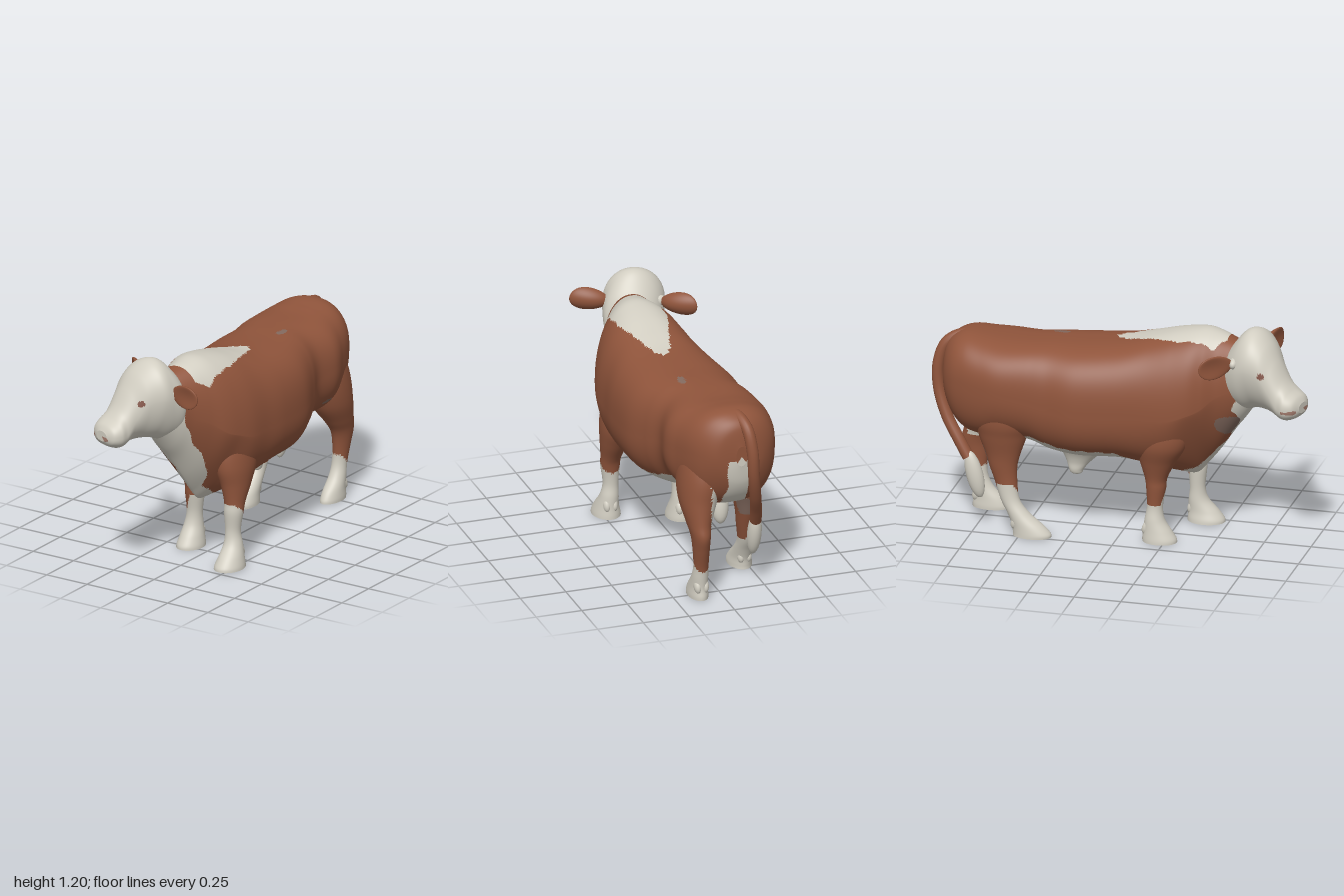
import * as THREE from 'three';

const mat = (name, color) => {
  const m = new THREE.MeshStandardMaterial({ color });
  m.name = name;
  return m;
};
const brown = mat('russet coat', 0x8f543b);
const cream = mat('cream coat', 0xd2cec2);
const MATS = [brown, cream, mat('eye brown', 0x85574a), mat('nostril pink', 0xa47c6e), mat('grey patch', 0x836a5f)];
const BROWN = 0, CREAM = 1, EYE = 2, NOSE = 3, GREY = 4;

// piecewise linear lookup in ascending [key, value] pairs
function lookup(pts, v) {
  if (v <= pts[0][0]) return pts[0][1];
  for (let i = 1; i < pts.length; i++) {
    const [a, fa] = pts[i - 1], [b, fb] = pts[i];
    if (v <= b) return fa + (fb - fa) * (v - a) / (b - a);
  }
  return pts[pts.length - 1][1];
}

// smooth blend of section rows, u in 0..1
function rowAt(rows, u) {
  const f = u * (rows.length - 1), i = Math.min(Math.floor(f), rows.length - 2), t = f - i;
  const r = k => rows[Math.max(0, Math.min(rows.length - 1, k))];
  return rows[i].map((p1, c) => {
    const p0 = r(i - 1)[c], p2 = r(i + 1)[c], p3 = r(i + 2)[c];
    return p1 + 0.5 * t * (p2 - p0 + t * (2 * p0 - 5 * p1 + 4 * p2 - p3 + t * (3 * (p1 - p2) + p3 - p0)));
  });
}

// skin closed rings through the rows; paint(x, y, z) picks each face's colour
function loft(name, rows, point, rings, segs, paint) {
  const pos = [], faces = MATS.map(() => []);
  const ring = u => {
    const row = rowAt(rows, u), start = pos.length / 3;
    for (let j = 0; j < segs; j++) pos.push(...point(row, j / segs * Math.PI * 2));
    return start;
  };
  const tri = (...ids) => {
    const c = [0, 1, 2].map(k => ids.reduce((s, i) => s + pos[i * 3 + k], 0) / 3);
    faces[paint(...c)].push(...ids);
  };
  const starts = [];
  for (let i = 0; i <= rings; i++) starts.push(ring(i / rings));
  for (let i = 0; i < rings; i++) for (let j = 0; j < segs; j++) {
    const k = (j + 1) % segs, a = starts[i], b = starts[i + 1];
    tri(a + j, b + j, a + k);
    tri(a + k, b + j, b + k);
  }
  // flat end caps
  for (const end of [0, 1]) {
    const s = ring(end), centre = [0, 0, 0];
    for (let j = 0; j < segs; j++) for (let k = 0; k < 3; k++) centre[k] += pos[(s + j) * 3 + k] / segs;
    const c = pos.length / 3;
    pos.push(...centre);
    for (let j = 0; j < segs; j++) {
      const k = (j + 1) % segs;
      if (end) tri(c, s + k, s + j); else tri(c, s + j, s + k);
    }
  }
  const g = new THREE.BufferGeometry();
  g.setAttribute('position', new THREE.Float32BufferAttribute(pos, 3));
  g.setIndex(faces.flat());
  let from = 0;
  faces.forEach((f, m) => { if (f.length) g.addGroup(from, f.length, m); from += f.length; });
  g.computeVertexNormals();
  const mesh = new THREE.Mesh(g, MATS);
  mesh.name = name;
  return mesh;
}

const pw = (v, e) => Math.sign(v) * Math.pow(Math.abs(v), e);
// row: z, centre x, half width, top, bottom, height of widest point, top and bottom roundness
const trunkPoint = ([z, cx, hw, top, bot, mid, eT, eB], a) => {
  const c = Math.cos(a), s = Math.sin(a), e = s > 0 ? eT : eB;
  return [cx + hw * pw(c, e), mid + (s > 0 ? top - mid : mid - bot) * pw(s, e), z];
};
// the head is turned, so its sections are skewed
const headPoint = (row, a) => {
  const p = trunkPoint(row, a);
  return [p[0], p[1], p[2] + 0.3 * (p[0] - row[1])];
};
// row: y, centre x, centre z, radius x, radius z
const legPoint = ([y, cx, cz, rx, rz], a) => [cx + rx * Math.cos(a), y, cz - rz * Math.sin(a)];

const trunkRows = [
  [0.72, 0, 0.09, 1.07, 0.80, 0.95, 1, 1],
  [0.66, 0, 0.125, 1.095, 0.71, 0.92, 1, 1],
  [0.60, 0.01, 0.145, 1.12, 0.63, 0.88, 0.95, 1.1],
  [0.52, 0.03, 0.175, 1.145, 0.51, 0.84, 0.95, 1.3],
  [0.45, 0.035, 0.22, 1.16, 0.42, 0.78, 0.95, 1.55],
  [0.38, 0.033, 0.252, 1.155, 0.35, 0.75, 0.92, 1.6],
  [0.28, 0.035, 0.275, 1.135, 0.36, 0.72, 0.88, 1.2],
  [0.15, 0.03, 0.285, 1.10, 0.40, 0.72, 0.82, 0.95],
  [0, 0.02, 0.305, 1.065, 0.43, 0.72, 0.75, 0.88],
  [-0.2, 0, 0.315, 1.05, 0.43, 0.72, 0.72, 0.88],
  [-0.35, -0.02, 0.285, 1.05, 0.45, 0.74, 0.72, 0.9],
  [-0.46, -0.045, 0.272, 1.05, 0.5, 0.77, 0.72, 0.9],
  [-0.6, -0.042, 0.285, 1.05, 0.52, 0.80, 0.75, 0.85],
  [-0.7, -0.05, 0.265, 1.06, 0.51, 0.82, 0.8, 0.8],
  [-0.8, -0.055, 0.235, 1.07, 0.53, 0.84, 0.85, 0.8],
  [-0.87, -0.06, 0.195, 1.05, 0.59, 0.84, 0.9, 0.85],
  [-0.92, -0.06, 0.13, 1.0, 0.68, 0.84, 1, 1],
  [-0.942, -0.06, 0.03, 0.9, 0.79, 0.84, 1, 1],
];
const headRows = [
  [1.0, -0.16, 0.04, 0.875, 0.82, 0.845, 0.9, 0.9],
  [0.98, -0.157, 0.08, 0.905, 0.795, 0.845, 0.85, 0.85],
  [0.94, -0.148, 0.1, 0.935, 0.775, 0.85, 0.88, 0.85],
  [0.90, -0.135, 0.096, 0.985, 0.775, 0.86, 0.95, 0.88],
  [0.85, -0.117, 0.1, 1.075, 0.785, 0.93, 0.95, 1.05],
  [0.80, -0.09, 0.125, 1.155, 0.79, 1.01, 0.95, 1.15],
  [0.74, -0.055, 0.153, 1.207, 0.785, 1.03, 0.98, 1.15],
  [0.68, -0.03, 0.153, 1.205, 0.765, 1.0, 1.05, 1.05],
  [0.62, 0, 0.135, 1.135, 0.77, 0.97, 1, 1],
  [0.58, 0.01, 0.10, 1.07, 0.80, 0.95, 1, 1],
];
const legs = {
  frontLegLeft: [[0.8, 0.16, 0.25, 0.09, 0.1], [0.66, 0.175, 0.265, 0.1, 0.14], [0.55, 0.19, 0.275, 0.097, 0.14], [0.45, 0.207, 0.295, 0.074, 0.098],
    [0.36, 0.217, 0.32, 0.054, 0.062], [0.30, 0.218, 0.333, 0.051, 0.051], [0.20, 0.215, 0.335, 0.041, 0.041],
    [0.13, 0.22, 0.34, 0.049, 0.053], [0.07, 0.225, 0.365, 0.061, 0.08], [0.03, 0.225, 0.378, 0.072, 0.097], [0.01, 0.225, 0.38, 0.075, 0.1]],
  frontLegRight: [[0.8, -0.1, 0.24, 0.09, 0.1], [0.66, -0.115, 0.24, 0.1, 0.14], [0.55, -0.123, 0.23, 0.097, 0.135], [0.45, -0.115, 0.21, 0.074, 0.095],
    [0.36, -0.11, 0.2, 0.055, 0.06], [0.30, -0.11, 0.2, 0.052, 0.052], [0.20, -0.115, 0.195, 0.042, 0.042],
    [0.13, -0.12, 0.195, 0.049, 0.053], [0.07, -0.12, 0.21, 0.06, 0.075], [0.03, -0.12, 0.22, 0.068, 0.09], [0.01, -0.12, 0.222, 0.07, 0.092]],
  hindLegLeft: [[0.9, 0.06, -0.7, 0.12, 0.1], [0.7, 0.085, -0.71, 0.124, 0.16], [0.56, 0.112, -0.74, 0.1, 0.138],
    [0.45, 0.125, -0.79, 0.066, 0.1], [0.38, 0.125, -0.823, 0.05, 0.081], [0.30, 0.122, -0.823, 0.043, 0.06], [0.20, 0.118, -0.809, 0.039, 0.044],
    [0.13, 0.118, -0.79, 0.043, 0.053], [0.07, 0.118, -0.76, 0.048, 0.078], [0.03, 0.118, -0.75, 0.052, 0.093], [0.01, 0.118, -0.748, 0.052, 0.095]],
  hindLegRight: [[0.9, -0.165, -0.62, 0.11, 0.13], [0.66, -0.192, -0.6, 0.105, 0.155], [0.55, -0.192, -0.6, 0.088, 0.13], [0.45, -0.196, -0.598, 0.064, 0.095],
    [0.38, -0.2, -0.595, 0.053, 0.075], [0.30, -0.203, -0.58, 0.046, 0.06], [0.20, -0.212, -0.555, 0.041, 0.05],
    [0.13, -0.217, -0.51, 0.047, 0.058], [0.07, -0.22, -0.46, 0.055, 0.083], [0.03, -0.22, -0.437, 0.061, 0.1], [0.01, -0.22, -0.435, 0.062, 0.102]],
};
// coat of each leg: sloping stocking tops, pale inner thighs
const legPaint = {
  frontLegLeft: (x, y, z) => y < lookup([[0.28, 0.26], [0.37, 0.35]], z) ? CREAM : BROWN,
  frontLegRight: (x, y) => y < lookup([[-0.14, 0.21], [-0.11, 0.3]], x) ? CREAM : BROWN,
  hindLegLeft: (x, y, z) => y < lookup([[-0.85, 0.17], [-0.78, 0.25]], z) || (x < 0.08 && y > 0.42) ? CREAM : BROWN,
  hindLegRight: (x, y, z) => {
    if (y < lookup([[-0.24, 0.29], [-0.19, 0.21]], x)) return CREAM;
    if (x > -0.225 && y > 0.38 && y < 0.49 && z < -0.63) return GREY;
    return x > -0.165 && y > 0.46 ? CREAM : BROWN;
  },
};

// coat borders
const neckEdge = [[0.35, 0.3], [0.45, 0.43], [0.6, 0.488], [0.7, 0.56], [0.85, 0.645], [0.95, 0.66], [1.06, 0.635], [1.12, 0.62]];
const chestEdge = [[0.35, -0.02], [0.58, 0], [0.75, -0.1], [0.88, -0.22]];
const bellyEdge = [[-0.7, 0.4], [-0.6, 0.52], [-0.45, 0.57], [-0.3, 0.52], [-0.1, 0.51], [0, 0.5], [0.1, 0.44], [0.17, 0.3]];
const within = (a, b, ra, rb) => Math.hypot(a / ra, b / rb) < 1;
function paintTrunk(x, y, z) {
  const w = 0.005 * Math.sin(38 * y + 9 * z) + 0.003 * Math.sin(71 * z + 23 * x);
  if (z > 0.35 && within(x + 0.07 + (y - 0.67) * 0.5, y - 0.67, 0.035, 0.06)) return GREY;
  if (y > 1 && within(x - 0.065, z + 0.35, 0.018, 0.045)) return GREY;
  if (x > 0.1 && within(y - 0.62, z + 0.58, 0.012, 0.04)) return GREY;
  if (z > lookup(neckEdge, y) + w && x > lookup(chestEdge, y) + w) return CREAM;
  if (y < lookup(bellyEdge, z) + w && z < 0.17) return CREAM;
  // saddle over the withers
  const t = (z + 0.05) / 0.61;
  if (y > 1.0 && t > 0 && t < 1 && Math.abs(x - 0.05) < 0.13 * Math.min(1, Math.pow(t * 1.8, 0.6), 0.6 + (1 - t) * 4) + w) return CREAM;
  if (z < -0.75 && y < 0.82 && Math.abs(x + 0.05) < 0.06 + w) return CREAM;
  return BROWN;
}
function paintHead(x, y, z) {
  if (z > 0.8 && x > -0.08 && within(x + 0.005, y - 1.012, 0.019, 0.016)) return EYE;
  if (x < -0.14 && within(z - 0.785, y - 1.012, 0.018, 0.016)) return EYE;
  if (z > 0.9 && [-0.13, -0.232].some(n => within(x - n, y - 0.836, 0.018, 0.011))) return NOSE;
  return CREAM;
}

function blob(name, [x, y, z], [sx, sy, sz], tilt = 0) {
  const m = new THREE.Mesh(new THREE.SphereGeometry(1, 20, 14), cream);
  m.name = name;
  m.position.set(x, y, z);
  m.scale.set(sx, sy, sz);
  m.rotation.x = tilt;
  return m;
}

// cupped leaf along +x, hollow towards side * z
function ear(name, pos, turn, lift, side) {
  const g = new THREE.SphereGeometry(1, 32, 24), p = g.attributes.position;
  for (let i = 0; i < p.count; i++) {
    const x = p.getX(i), y = p.getY(i), z = p.getZ(i), t = (x + 1) / 2;
    const h = y * (0.05 + 0.022 * t);
    p.setXYZ(i, t * 0.207, h, z * (0.03 - 0.012 * t) + side * (h * h * 6 - 0.012 * (1 - x * x)));
  }
  g.computeVertexNormals();
  const m = new THREE.Mesh(g, brown);
  m.name = name;
  m.position.set(...pos);
  m.rotation.set(0, turn, lift);
  return m;
}

export function createModel() {
  const bull = new THREE.Group();
  bull.name = 'bull';
  bull.add(loft('body', trunkRows, trunkPoint, 250, 160, paintTrunk));
  bull.add(loft('head', headRows, headPoint, 100, 100, paintHead));

  // legs with a pair of dewclaws each
  for (const [name, rows] of Object.entries(legs)) {
    bull.add(loft(name, rows, legPoint, 70, 36, legPaint[name]));
    const [, cx, cz, , rz] = rows[rows.length - 3];
    for (const s of [-1, 1])
      bull.add(blob('dewclaw', [cx + s * 0.02, 0.085, cz - rz * 0.68], [0.02, 0.04, 0.026], 0.4));
  }

  // ears and their pale roots
  bull.add(ear('earLeft', [0.09, 1.05, 0.715], -0.3, 0.08, 1));
  bull.add(ear('earRight', [-0.16, 1.05, 0.62], 2.39, 0.02, -1));
  bull.add(blob('earRootLeft', [0.09, 1.05, 0.718], [0.045, 0.03, 0.025]));
  bull.add(blob('earRootRight', [-0.15, 1.05, 0.628], [0.045, 0.03, 0.025]));

  // underside
  bull.add(loft('sheath', [[0.48, -0.02, -0.21, 0.1, 0.15], [0.42, -0.02, -0.225, 0.06, 0.1], [0.37, -0.022, -0.24, 0.038, 0.062],
    [0.33, -0.025, -0.25, 0.03, 0.04], [0.308, -0.025, -0.25, 0.022, 0.03], [0.3, -0.025, -0.25, 0.008, 0.01]], legPoint, 30, 30, () => CREAM));
  bull.add(blob('scrotum', [-0.04, 0.46, -0.645], [0.048, 0.11, 0.045], 0.2));

  // tail and tuft
  const path = new THREE.CatmullRomCurve3([[-0.05, 1.02, -0.74], [-0.07, 1.035, -0.84], [-0.095, 0.99, -0.925],
    [-0.11, 0.88, -0.965], [-0.12, 0.74, -0.96], [-0.145, 0.6, -0.91], [-0.175, 0.48, -0.835], [-0.19, 0.4, -0.785]]
    .map(p => new THREE.Vector3(...p)));
  const tail = new THREE.Mesh(new THREE.TubeGeometry(path, 60, 0.031, 16), brown);
  tail.name = 'tail';
  bull.add(tail);
  bull.add(blob('tailTuft', [-0.195, 0.31, -0.75], [0.037, 0.13, 0.045], -0.25));
  return bull;
}
